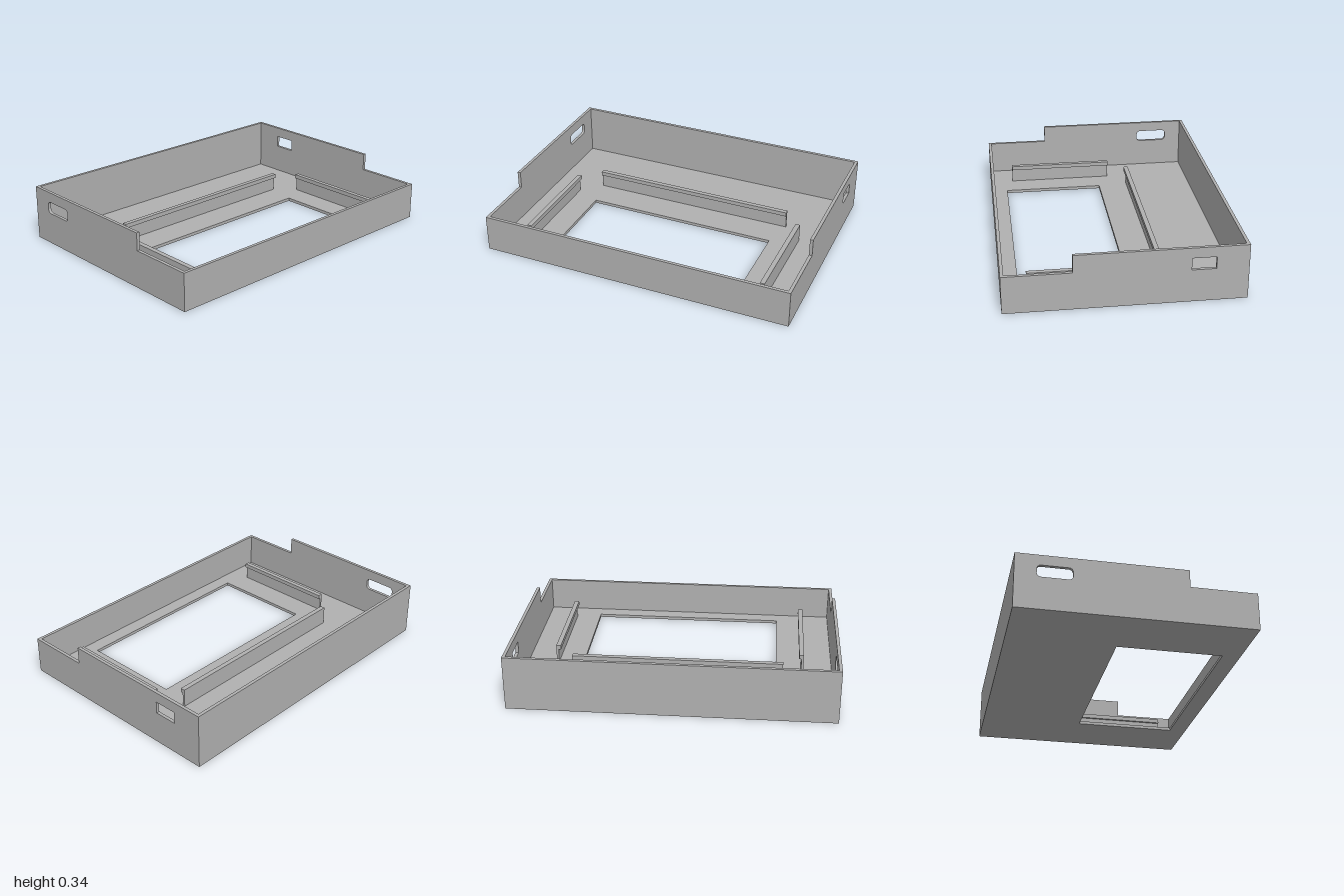
import * as THREE from 'three';

const W = 1, D = 0.71, T = 0.02;          // half width, half depth, wall thickness
const BACK_H = 0.345, FRONT_H = 0.235, STEP_Z = 0.305;

// Closed rectangle with optional corner radius
function rectPath(PathType, x0, y0, x1, y1, r = 0) {
  const p = new PathType();
  if (r === 0) {
    p.moveTo(x0, y0).lineTo(x1, y0).lineTo(x1, y1).lineTo(x0, y1);
  } else {
    p.moveTo(x0 + r, y0);
    p.absarc(x1 - r, y0 + r, r, -Math.PI / 2, 0);
    p.absarc(x1 - r, y1 - r, r, 0, Math.PI / 2);
    p.absarc(x0 + r, y1 - r, r, Math.PI / 2, Math.PI);
    p.absarc(x0 + r, y0 + r, r, Math.PI, Math.PI * 1.5);
  }
  p.closePath();
  return p;
}

const extrude = (shape, depth) =>
  new THREE.ExtrudeGeometry(shape, { depth, bevelEnabled: false, curveSegments: 8 });

export function createModel() {
  const model = new THREE.Group();
  model.name = 'steppedTray';
  const grey = new THREE.MeshStandardMaterial({ color: 0xb0b0b0 });
  grey.name = 'grey plastic';

  function add(name, geometry, x = 0, y = 0, z = 0, parent = model) {
    const mesh = new THREE.Mesh(geometry, grey);
    mesh.name = name;
    mesh.position.set(x, y, z);
    parent.add(mesh);
    return mesh;
  }

  // Floor plate with the window opening (shape y becomes -z)
  const floor = rectPath(THREE.Shape, -W, -D, W, D);
  floor.holes.push(rectPath(THREE.Path, -0.625, -0.6, 0.62, 0.05));
  add('floor', extrude(floor, T).rotateX(-Math.PI / 2));

  // Front and back walls
  const wall = (h) => new THREE.BoxGeometry(2 * (W - T), h - T, T);
  add('frontWall', wall(FRONT_H), 0, (FRONT_H + T) / 2, D - T / 2);
  add('backWall', wall(BACK_H), 0, (BACK_H + T) / 2, -D + T / 2);

  // Stepped side walls: shape x becomes -z, extrusion runs along +x
  function sideWall(name, x, hole) {
    const s = new THREE.Shape();
    s.moveTo(-D, T).lineTo(D, T).lineTo(D, BACK_H).lineTo(-STEP_Z, BACK_H)
      .lineTo(-STEP_Z, FRONT_H).lineTo(-D, FRONT_H).closePath();
    s.holes.push(hole);
    add(name, extrude(s, T).rotateY(Math.PI / 2), x);
  }
  sideWall('leftWall', W - T, rectPath(THREE.Path, 0.375, 0.205, 0.518, 0.28));
  sideWall('rightWall', -W, rectPath(THREE.Path, 0.375, 0.205, 0.582, 0.28, 0.024));

  // Hooked rails: thin web with a lip towards the window; the length runs along local x
  function rail(name, length, x, z, turn) {
    const s = new THREE.Shape();
    s.moveTo(0.015, T).lineTo(0.015, 0.137).lineTo(-0.015, 0.137)
      .lineTo(-0.015, 0.11).lineTo(0, 0.11).lineTo(0, T).closePath();
    const g = extrude(s, length).translate(0, 0, -length / 2).rotateY(Math.PI / 2);
    add(name, g, x, 0, z).rotation.y = turn;
  }
  rail('backRail', 1.335, 0, -0.245, 0);
  rail('leftRail', 0.685, 0.78, 0.2125, -Math.PI / 2);
  rail('rightRail', 0.685, -0.785, 0.2125, Math.PI / 2);

  return model;
}
